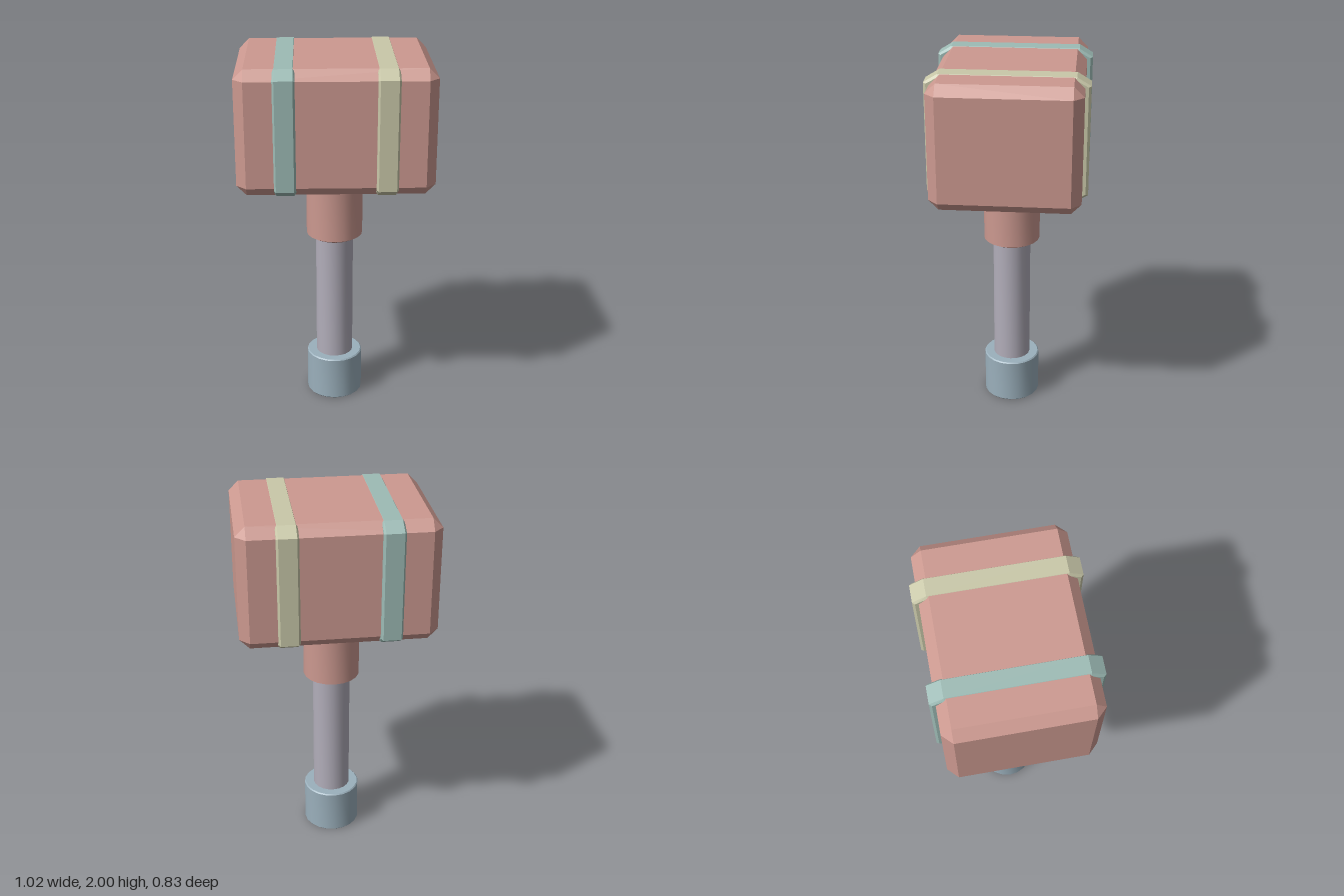
import * as THREE from 'three';
import { toCreasedNormals } from 'three/addons/utils/BufferGeometryUtils.js';
import { ConvexGeometry } from 'three/addons/geometries/ConvexGeometry.js';

const SIDES = 20;
const HEAD_Y = 1.669;

function addPart(group, name, geometry, color) {
  const mesh = new THREE.Mesh(geometry, new THREE.MeshStandardMaterial({ color }));
  mesh.name = name;
  group.add(mesh);
  return mesh;
}

// Hull of a box's mirrored corner points, given for one octant
function mirroredHull(corners) {
  const points = [];
  for (const [x, y, z] of corners)
    for (const sx of [-1, 1])
      for (const sy of [-1, 1])
        for (const sz of [-1, 1]) points.push(new THREE.Vector3(x * sx, y * sy, z * sz));
  return new ConvexGeometry(points);
}

// Round part turned about y, smooth around and sharp at its rims
function turned(profile) {
  const points = profile.map(([r, y]) => new THREE.Vector2(r, y));
  return toCreasedNormals(new THREE.LatheGeometry(points, SIDES), Math.PI / 6);
}

export function createModel() {
  const model = new THREE.Group();
  model.name = 'hammer';

  // Head: a box with every edge cut at an angle
  const [hx, hy, hz, c] = [0.51, 0.329, 0.385, 0.052];
  const head = addPart(model, 'head', mirroredHull([
    [hx, hy - c, hz - c],
    [hx - c, hy, hz - c],
    [hx - c, hy - c, hz],
  ]), 0xcc9990);
  head.position.y = HEAD_Y;

  // Bands wrapped around the head, with softened rims
  const band = mirroredHull([
    [0.056, 0.283, 0.402], [0.056, 0.318, 0.339],
    [0.046, 0.288, 0.415], [0.046, 0.331, 0.344],
  ]);
  for (const [name, x, color] of [['rightBand', -0.26, 0x9dbbb5], ['leftBand', 0.26, 0xc9c8a9]]) {
    addPart(model, name, band, color).position.set(x, HEAD_Y, 0);
  }

  // Collar under the head, tapered at the bottom
  addPart(model, 'collar', turned([
    [0, 0.97], [0.118, 0.97], [0.154, 0.99], [0.154, 1.36], [0, 1.36],
  ]), 0xcc9990);

  // Handle
  addPart(model, 'handle', turned([
    [0, 0.2], [0.103, 0.2], [0.103, 1.0], [0, 1.0],
  ]), 0xb2aeba);

  // Pommel with a fine rim bevel
  addPart(model, 'pommel', turned([
    [0, 0], [0.15, 0], [0.156, 0.006], [0.156, 0.246], [0.15, 0.252], [0, 0.252],
  ]), 0x9bb0bc);

  return model;
}
